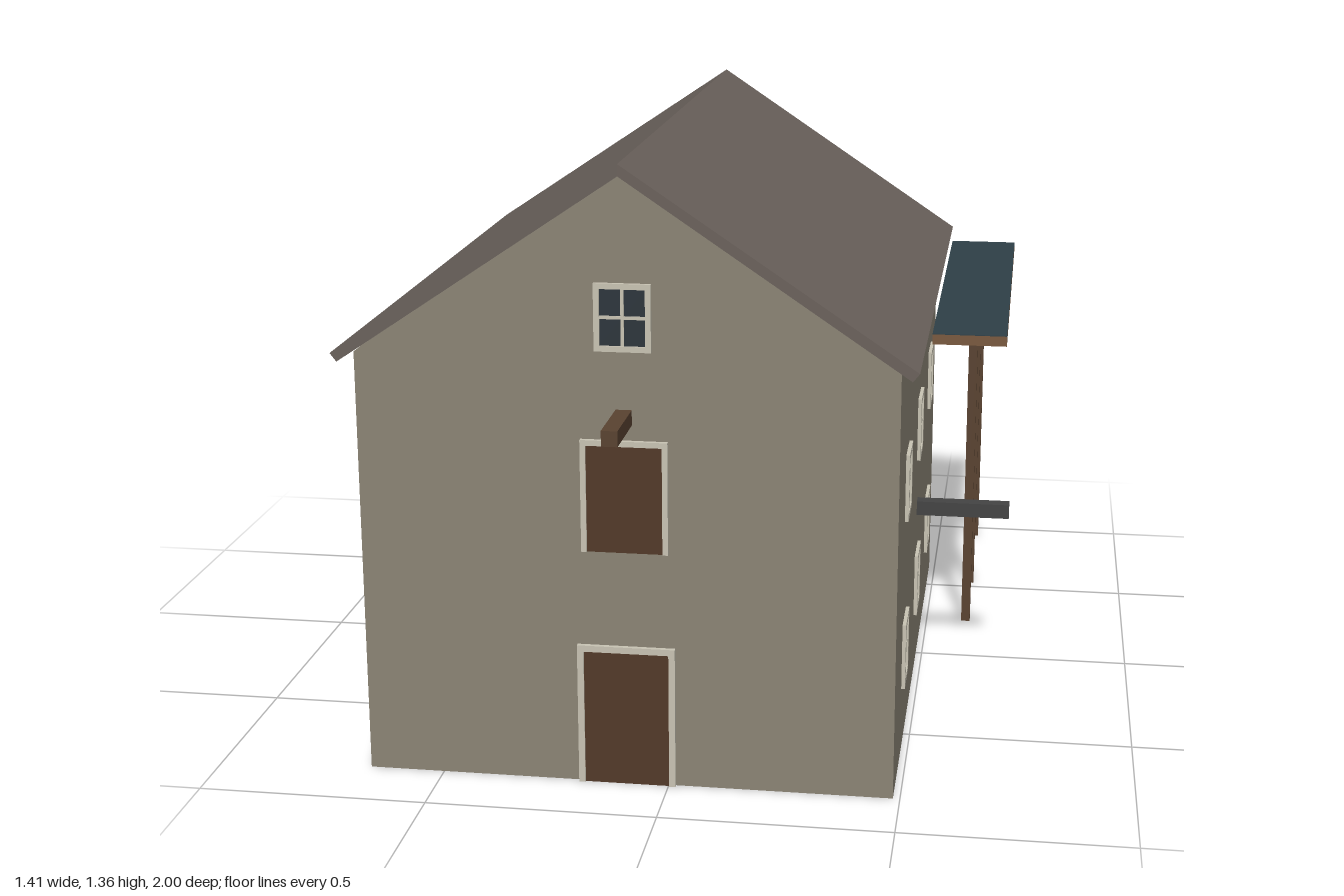
import * as THREE from 'three';

const mat = (color) => new THREE.MeshStandardMaterial({ color });
const M = {
  wall: mat(0x8c8576), roof: mat(0x6b625c), trim: mat(0xcac5b5), glass: mat(0x2d353c),
  door: mat(0x533a29), beam: mat(0x5a4331), trough: mat(0x7a5a3f), water: mat(0x2f4048), iron: mat(0x444444),
};
const RIDGE = -0.09; // x of the ridge line
const MID = 0.0925;  // z of the building's middle

// Box given by its minimum and maximum corners
function box(parent, name, material, [x0, y0, z0], [x1, y1, z1]) {
  const mesh = new THREE.Mesh(new THREE.BoxGeometry(x1 - x0, y1 - y0, z1 - z0), material);
  mesh.position.set((x0 + x1) / 2, (y0 + y1) / 2, (z0 + z1) / 2);
  mesh.name = name;
  parent.add(mesh);
  return mesh;
}

// Outline in the gable plane, measured from the ridge, extruded from z0 to z1
function prism(parent, name, material, points, z0, z1) {
  const shape = new THREE.Shape(points.map(([x, y]) => new THREE.Vector2(x, y)));
  const geometry = new THREE.ExtrudeGeometry(shape, { depth: z1 - z0, bevelEnabled: false });
  const mesh = new THREE.Mesh(geometry, material);
  mesh.position.set(RIDGE, 0, z0);
  mesh.name = name;
  parent.add(mesh);
}

// Four-pane window facing +z, centred on its group's origin
function makeWindow(w, h, t) {
  const g = new THREE.Group();
  g.name = 'window';
  const a = w / 2, b = h / 2, d = 0.008, m = 0.0035;
  box(g, 'glass', M.glass, [-a + t, -b + t, -0.005], [a - t, b - t, 0.003]);
  for (const s of [-1, 1]) {
    const x = s * (a - t / 2), y = s * (b - t / 2);
    box(g, 'frameSide', M.trim, [x - t / 2, -b, -0.005], [x + t / 2, b, d]);
    box(g, 'frameRail', M.trim, [-a + t, y - t / 2, -0.005], [a - t, y + t / 2, d]);
  }
  box(g, 'verticalBar', M.trim, [-m, -b + t, 0], [m, b - t, 0.006]);
  box(g, 'crossBar', M.trim, [-a + t, -m, 0], [a - t, m, 0.0055]);
  return g;
}

// Door with a frame on its sides and top
function makeDoor(parent, name, w, y0, y1, t) {
  const g = new THREE.Group();
  g.name = name;
  g.position.set(RIDGE, 0, 0.84);
  box(g, 'panel', M.door, [-w / 2, y0, -0.005], [w / 2, y1, 0.006]);
  for (const s of [-1, 1]) {
    const x = s * (w / 2 + t / 2);
    box(g, 'doorFrameSide', M.trim, [x - t / 2, y0, -0.005], [x + t / 2, y1, 0.01]);
  }
  box(g, 'doorFrameTop', M.trim, [-w / 2 - t, y1, -0.005], [w / 2 + t, y1 + t, 0.01]);
  parent.add(g);
}

export function createModel() {
  const model = new THREE.Group();
  model.name = 'mill';

  // Walls and gables
  prism(model, 'walls', M.wall,
    [[-0.575, 0], [0.575, 0], [0.575, 0.945], [0, 1.332], [-0.575, 0.945]], -0.655, 0.84);

  // Two roof slabs meeting at the ridge
  for (const s of [-1, 1]) {
    const outline = [[0, 1.336], [s * 0.6, 0.932], [s * 0.614, 0.95], [0, 1.361]];
    prism(model, s > 0 ? 'leftRoof' : 'rightRoof', M.roof, s > 0 ? outline : outline.reverse(), -0.695, 0.88);
  }

  // Front openings and hoist beam
  makeDoor(model, 'lowerDoor', 0.184, 0, 0.302, 0.014);
  makeDoor(model, 'upperDoor', 0.162, 0.528, 0.762, 0.012);
  const gableWindow = makeWindow(0.12, 0.144, 0.012);
  gableWindow.position.set(RIDGE, 1.037, 0.84);
  model.add(gableWindow);
  box(model, 'hoistBeam', M.beam, [RIDGE - 0.017, 0.807, 0.8], [RIDGE + 0.017, 0.84, 1]);

  // Two rows of windows on both long walls
  for (const s of [-1, 1]) for (const y of [0.232, 0.622]) for (const k of [-1, 0, 1]) {
    const win = makeWindow(0.118, 0.15, 0.014);
    win.position.set(RIDGE + s * 0.575, y, MID + k * 0.46);
    win.rotation.y = s * Math.PI / 2;
    model.add(win);
  }

  // Wheel axle
  box(model, 'axle', M.iron, [0.46, 0.398, 0.076], [0.705, 0.432, 0.11]);

  // Water channel on posts
  box(model, 'channel', M.trough, [0.513, 0.825, -1], [0.687, 0.849, 0.122]);
  box(model, 'water', M.water, [0.513, 0.849, -1], [0.687, 0.851, 0.122]);
  for (const z of [-0.25, -0.54, -0.94]) {
    box(model, 'channelPost', M.beam, [0.589, 0, z - 0.011], [0.611, 0.825, z + 0.011]);
  }
  return model;
}
